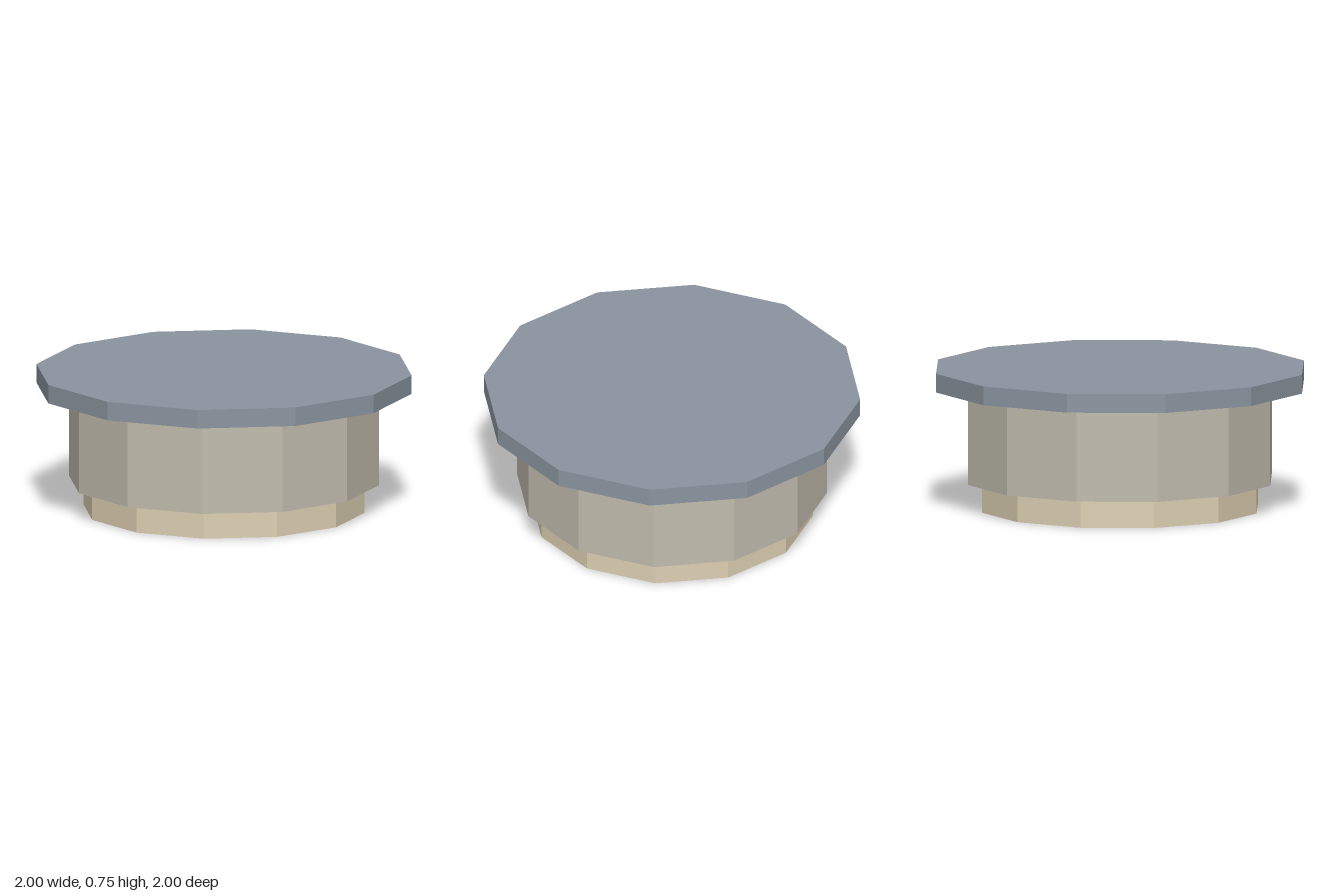
import * as THREE from 'three';

const SIDES = 12;

function material(name, color) {
  const m = new THREE.MeshStandardMaterial({ color, flatShading: true });
  m.name = name;
  return m;
}

export function createModel() {
  const group = new THREE.Group();
  group.name = 'tieredPedestal';

  // Stacked twelve-sided tiers: name, radius, bottom, top, material
  const tiers = [
    ['foot', 0.75, 0, 0.15, material('warm sand', 0xdccfb2)],
    ['drum', 0.825, 0.15, 0.65, material('grey stone', 0xc0bbad)],
    ['topSlab', 1, 0.65, 0.75, material('slate', 0x8a949f)],
  ];

  for (const [name, radius, bottom, top, mat] of tiers) {
    const geometry = new THREE.CylinderGeometry(radius, radius, top - bottom, SIDES);
    const mesh = new THREE.Mesh(geometry, mat);
    mesh.name = name;
    mesh.position.y = (bottom + top) / 2;
    group.add(mesh);
  }
  return group;
}
